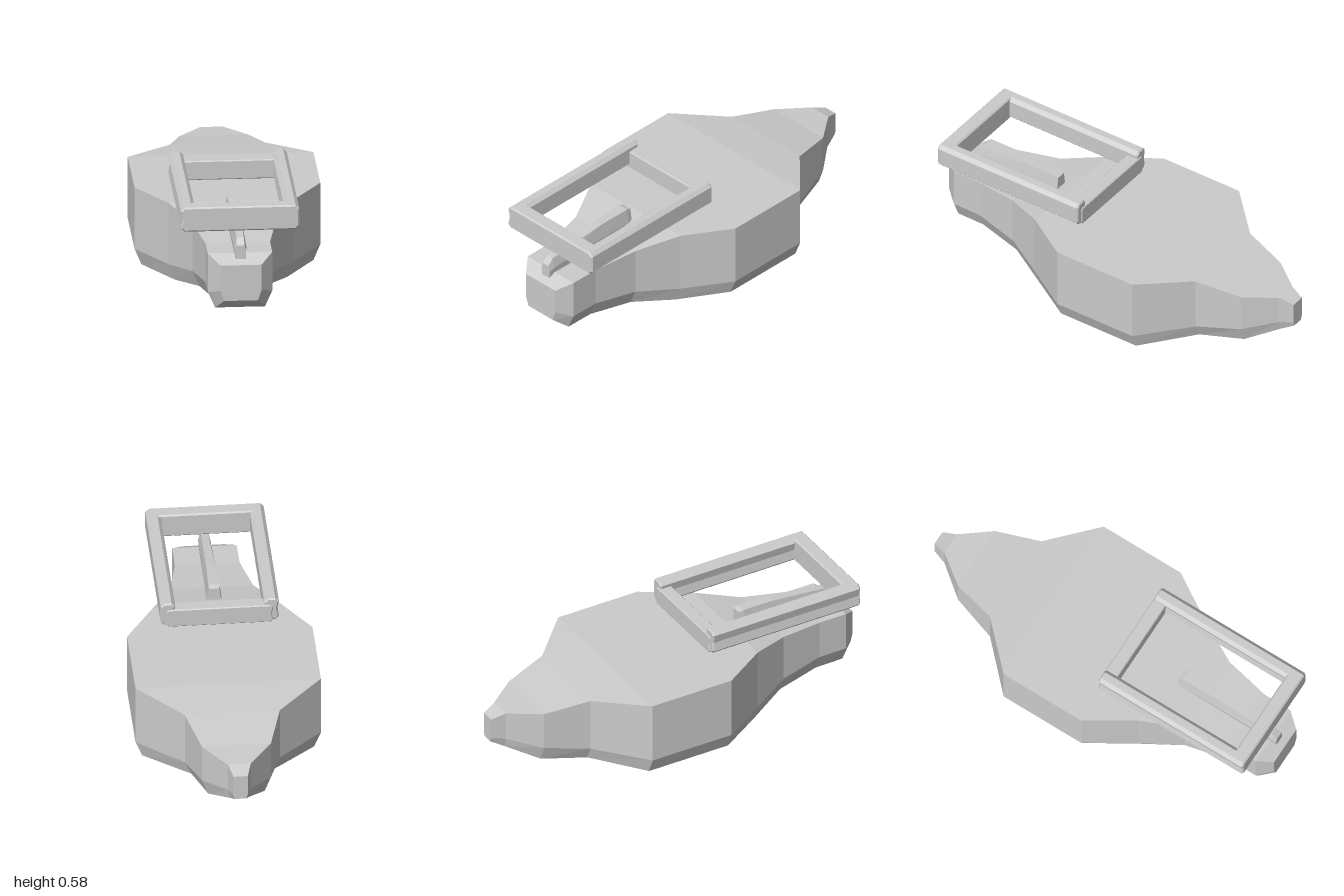
import * as THREE from 'three';

const material = new THREE.MeshStandardMaterial({ color: 0xcccccc, flatShading: true });

// Lofts mirrored six-sided sections, listed front to back:
// [z, bottomY, bottomHalfWidth, midY, midHalfWidth, topY, topHalfWidth]
function loft(sections) {
  const rings = sections.map(([z, yb, wb, ym, wm, yt, wt]) => [
    [wb, yb, z], [wm, ym, z], [wt, yt, z], [-wt, yt, z], [-wm, ym, z], [-wb, yb, z],
  ]);
  const pos = [];
  const tri = (a, b, c) => pos.push(...a, ...b, ...c);
  for (let s = 0; s < rings.length - 1; s++) {
    for (let i = 0; i < 6; i++) {
      const j = (i + 1) % 6;
      const a = rings[s][i], b = rings[s][j], c = rings[s + 1][j], d = rings[s + 1][i];
      tri(a, d, c);
      tri(a, c, b);
    }
  }
  const front = rings[0], back = rings[rings.length - 1];
  for (let i = 1; i < 5; i++) {
    tri(front[0], front[i], front[i + 1]);
    tri(back[0], back[i + 1], back[i]);
  }
  const geo = new THREE.BufferGeometry();
  geo.setAttribute('position', new THREE.Float32BufferAttribute(pos, 3));
  geo.computeVertexNormals();
  return geo;
}

// Box with chamfered edges, given by its minimum and maximum corners
function chamferBox(x0, y0, z0, x1, y1, z1, b) {
  const shape = new THREE.Shape([
    new THREE.Vector2(x0 + b, y0 + b), new THREE.Vector2(x1 - b, y0 + b),
    new THREE.Vector2(x1 - b, y1 - b), new THREE.Vector2(x0 + b, y1 - b),
  ]);
  const corners = [[x0, y0], [x1, y0], [x1, y1], [x0, y1]];
  // Outline with cut corners
  const outline = new THREE.Shape(corners.flatMap(([x, y], i) => {
    const sx = x === x0 ? 1 : -1, sy = y === y0 ? 1 : -1;
    const alongX = new THREE.Vector2(x + sx * b, y), alongY = new THREE.Vector2(x, y + sy * b);
    return i % 2 ? [alongX, alongY] : [alongY, alongX];
  }));
  shape.setFromPoints(outline.getPoints());
  const t = b * 0.4;
  const geo = new THREE.ExtrudeGeometry(shape, {
    depth: z1 - z0 - 2 * t, bevelEnabled: true, bevelThickness: t, bevelSize: t, bevelOffset: -t, bevelSegments: 1,
  });
  return geo.translate(0, 0, z0 + t);
}

export function createModel() {
  const model = new THREE.Group();
  const add = (name, geo, parent = model) => {
    const mesh = new THREE.Mesh(geo, material);
    mesh.name = name;
    parent.add(mesh);
  };

  // Body with flat deck, chamfered belly and tapered ends
  add('hull', loft([
    [1.0, 0.117, 0.083, 0.17, 0.1, 0.3, 0.1],
    [0.93, 0.06, 0.122, 0.14, 0.157, 0.34, 0.157],
    [0.78, 0.06, 0.124, 0.14, 0.158, 0.34, 0.158],
    [0.55, 0.037, 0.17, 0.115, 0.203, 0.36, 0.203],
    [0.345, 0, 0.275, 0.08, 0.305, 0.397, 0.305],
    [0.11, 0, 0.42, 0.08, 0.453, 0.397, 0.453],
    [-0.335, 0, 0.42, 0.08, 0.453, 0.397, 0.453],
    [-0.555, 0.028, 0.2, 0.097, 0.232, 0.375, 0.232],
    [-0.78, 0.06, 0.138, 0.14, 0.168, 0.337, 0.168],
    [-0.93, 0.13, 0.042, 0.18, 0.056, 0.328, 0.056],
    [-1.0, 0.172, 0.028, 0.195, 0.035, 0.303, 0.035],
  ]));

  // Raised fin on the front deck carrying the frame
  add('supportFin', loft([
    [0.965, 0.32, 0.025, 0.36, 0.027, 0.39, 0.02],
    [0.935, 0.31, 0.026, 0.37, 0.03, 0.42, 0.018],
    [0.6, 0.32, 0.028, 0.38, 0.034, 0.453, 0.022],
    [0.43, 0.32, 0.03, 0.38, 0.038, 0.458, 0.027],
    [0.405, 0.32, 0.026, 0.38, 0.034, 0.45, 0.025],
  ]));

  // Rectangular open frame
  const frame = new THREE.Group();
  frame.name = 'frame';
  model.add(frame);
  add('leftRail', chamferBox(0.217, 0.455, 0.105, 0.289, 0.58, 0.935, 0.018), frame);
  add('rightRail', chamferBox(-0.289, 0.455, 0.105, -0.217, 0.58, 0.935, 0.018), frame);
  add('frontBar', chamferBox(-0.289, 0.455, 0.863, 0.289, 0.58, 0.937, 0.018), frame);
  add('rearBar', chamferBox(-0.26, 0.447, 0.1, 0.26, 0.545, 0.168, 0.012), frame);
  return model;
}
